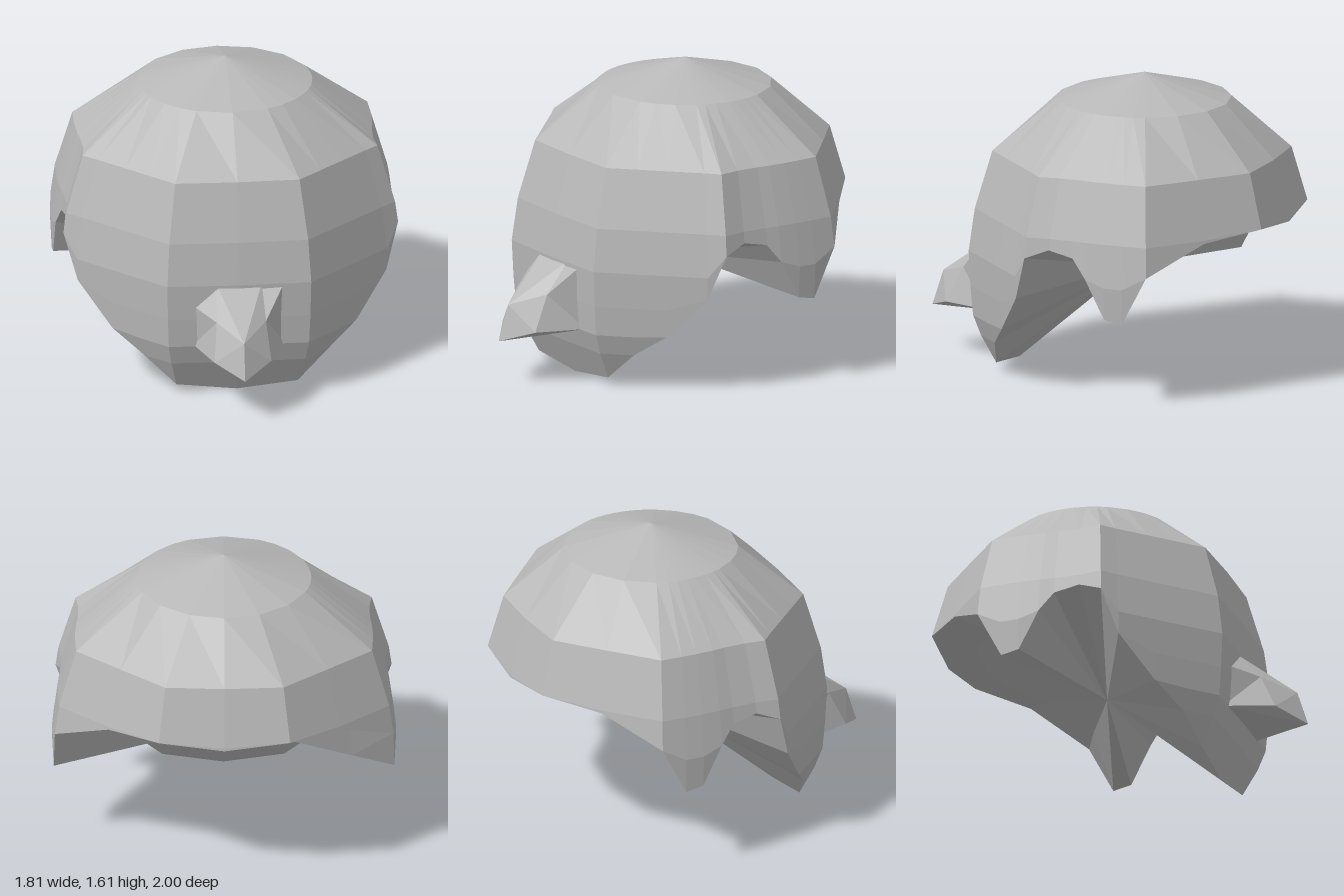
import * as THREE from 'three';

const CENTRE_Z = -0.19;

// scale of the eight-sided outline at each height
const PROFILE = [[0, 0.82], [0.19, 0.93], [0.3, 0.975], [0.46, 0.99], [0.65, 1], [0.88, 0.965], [1.19, 0.865]];

// half outline, front to back: x, z from the centre, height of the lower rim
const OUTLINE = [
  [0, 0.855, 0], [0.38, 0.845, 0.04], [0.52, 0.71, 0.19], [0.66, 0.575, 0.31], [0.82, 0.42, 0.53],
  [0.9, 0.35, 0.77], [0.885, 0.22, 0.82], [0.89, 0.08, 0.79], [0.9, 0, 0.69], [0.905, -0.11, 0.48],
  [0.905, -0.21, 0.46], [0.9, -0.345, 0.72], [0.63, -0.585, 0.865], [0.36, -0.82, 0.9], [0, -0.84, 0.865],
];

function scaleAt(y) {
  for (let i = 1; i < PROFILE.length; i++) {
    const [y0, s0] = PROFILE[i - 1], [y1, s1] = PROFILE[i];
    if (y <= y1) return s0 + (s1 - s0) * (y - y0) / (y1 - y0);
  }
  return PROFILE[PROFILE.length - 1][1];
}

// flat-faced geometry from triangles of Vector3, dropping collapsed ones
function facets(triangles) {
  const points = [];
  for (const t of triangles) {
    if (new THREE.Triangle(...t).getArea() > 1e-6) points.push(...t);
  }
  const geometry = new THREE.BufferGeometry().setFromPoints(points);
  geometry.computeVertexNormals();
  return geometry;
}

function shellGeometry() {
  const mirrored = OUTLINE.slice(1, -1).reverse().map(([x, z, y]) => [-x, z, y]);
  const underside = new THREE.Vector3(0, 0.55, -0.12);

  // each column runs from the crown down the wall, then under to the middle
  const columns = [...OUTLINE, ...mirrored].map(([x, z, rim]) => {
    const r = 0.46 / Math.hypot(x, z);
    const column = [
      new THREE.Vector3(0, 1.605, CENTRE_Z),
      new THREE.Vector3(x * r, 1.47, CENTRE_Z + z * r),
    ];
    for (const level of [1.19, 0.88, 0.65, 0.46, 0.3, 0.19, 0]) {
      const y = Math.max(level, rim), s = scaleAt(y);
      column.push(new THREE.Vector3(x * s, y, CENTRE_Z + z * s));
    }
    const inner = column[column.length - 1].clone().lerp(underside, 0.25);
    if (z < -0.3) inner.y += 0.025;
    column.push(inner, underside);
    return column;
  });

  const triangles = [];
  columns.forEach((left, i) => {
    const right = columns[(i + 1) % columns.length];
    for (let j = 0; j < left.length - 1; j++) {
      triangles.push([left[j], left[j + 1], right[j + 1]], [left[j], right[j + 1], right[j]]);
    }
  });
  return facets(triangles);
}

function peakGeometry() {
  const v = (x, y, z) => new THREE.Vector3(x, y, z);
  const tipTop = v(0, 0.43, 0.94), tip = v(0, 0.24, 1);
  const side = (s, shoulderY) => ({
    top: v(s * 0.12, 0.65, 0.64),
    shoulder: v(s * 0.24, shoulderY, 0.64),
    dent: v(s * 0.13, 0.49, 0.78),
    cheek: v(s * 0.15, 0.3, 0.87),
    base: v(s * 0.24, 0.3, 0.61),
  });
  const a = side(-1, 0.53), b = side(1, 0.65);
  const faces = (p) => [
    [tipTop, p.top, p.dent], [p.dent, p.top, p.shoulder], [p.dent, p.shoulder, p.base],
    [p.dent, p.base, p.cheek], [tipTop, p.dent, p.cheek], [tipTop, p.cheek, tip],
  ];
  return facets([
    [tipTop, b.top, a.top],
    ...faces(a),
    ...faces(b).map((t) => t.reverse()),
    // underside
    [tip, a.cheek, a.base], [tip, a.base, b.base], [tip, b.base, b.cheek],
  ]);
}

export function createModel() {
  const grey = new THREE.MeshStandardMaterial({ color: 0xb8b8b8 });
  grey.name = 'plain grey';
  const group = new THREE.Group();
  const add = (name, geometry) => {
    const mesh = new THREE.Mesh(geometry, grey);
    mesh.name = name;
    group.add(mesh);
  };
  add('domedShell', shellGeometry());
  add('frontPeak', peakGeometry());
  return group;
}
